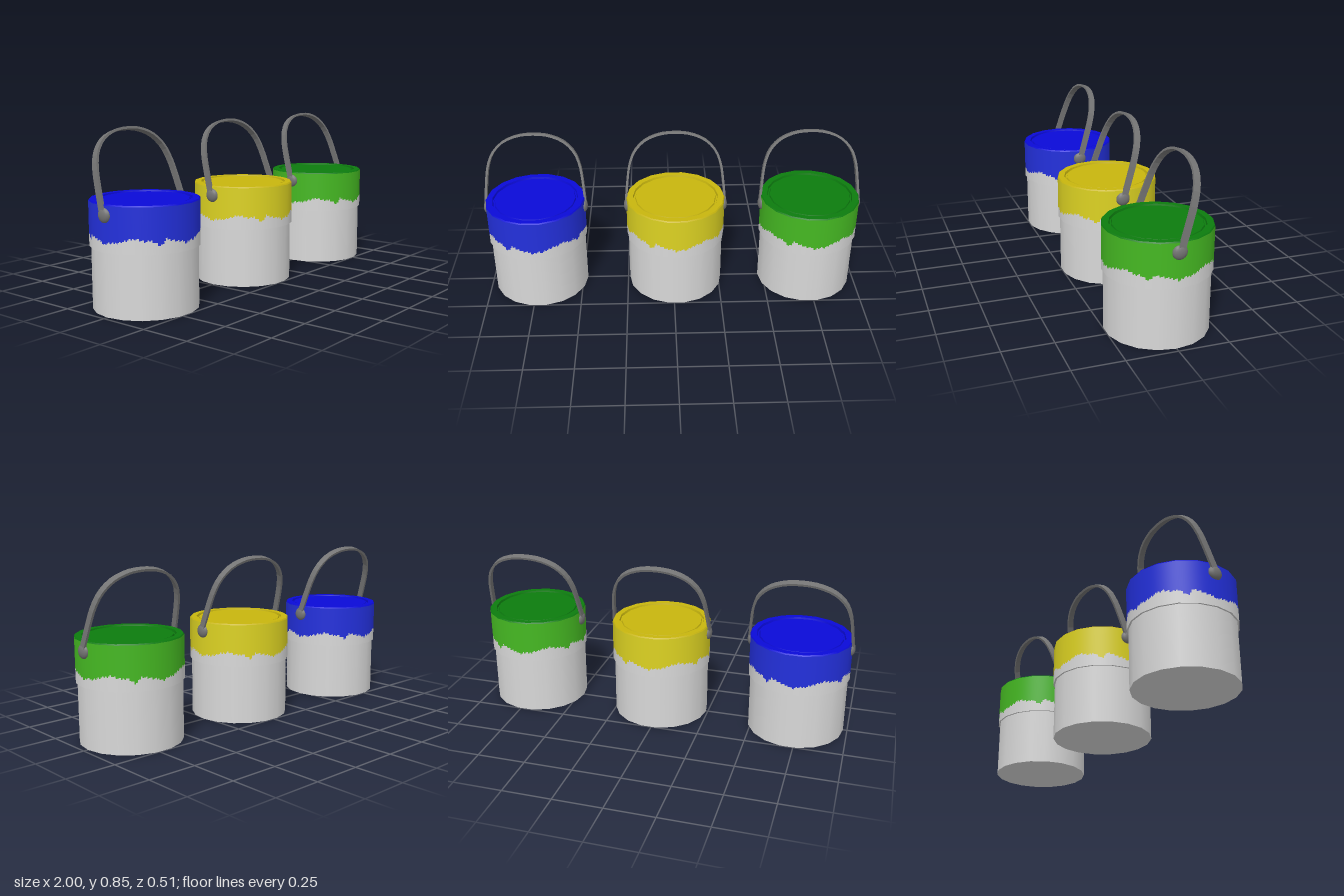
import * as THREE from 'three';
import { mergeGeometries } from 'three/addons/utils/BufferGeometryUtils.js';

const SIDES = 18, START = Math.PI / 18, BODY = 0.252, BAND = 0.2605;

const mat = (name, color, side = THREE.FrontSide) => {
  const m = new THREE.MeshStandardMaterial({ color, side });
  m.name = name;
  return m;
};

function mesh(name, geometry, material) {
  const m = new THREE.Mesh(geometry, material);
  m.name = name;
  return m;
}

// Turned surface whose profile corners all stay sharp
function turned(profile) {
  const parts = [];
  for (let i = 0; i + 1 < profile.length; i++) {
    const pair = [profile[i], profile[i + 1]].map(([r, y]) => new THREE.Vector2(r, y));
    parts.push(new THREE.LatheGeometry(pair, SIDES, START));
  }
  return mergeGeometries(parts);
}

// Height of the ragged paint edge, repeated every quarter turn: [degrees, height]
const DRIPS = [[-45, 0.36], [-39, 0.366], [-30, 0.338], [-24, 0.37], [-11, 0.353], [-3, 0.347],
  [0, 0.337], [5, 0.347], [11, 0.348], [22, 0.36], [35, 0.376], [45, 0.36]];

function dripHeight(angle, column) {
  const d = ((THREE.MathUtils.radToDeg(angle) + 45) % 90 + 90) % 90 - 45;
  let i = 0;
  while (i < DRIPS.length - 2 && d > DRIPS[i + 1][0]) i++;
  const [a, ya] = DRIPS[i], [b, yb] = DRIPS[i + 1];
  const jitter = ((column * 37) % 11) / 11 - 0.5;
  return ya + (yb - ya) * (d - a) / (b - a) + jitter * 0.012;
}

// Narrow upright columns around the band, from low(i) to high(i)
function columns(low, high) {
  const pos = [], nor = [], idx = [], per = 12, step = 2 * Math.PI / SIDES;
  const corner = (k) => new THREE.Vector2(Math.sin(START + k * step), Math.cos(START + k * step));
  const point = (c) => corner(Math.floor(c / per)).lerp(corner(Math.floor(c / per) + 1), (c % per) / per);
  for (let c = 0; c < SIDES * per; c++) {
    const angle = START + (c + 0.5) / per * step;
    const y0 = low(angle, c), y1 = high(angle, c), n = pos.length / 3;
    for (const [p, y] of [[point(c), y0], [point(c + 1), y0], [point(c + 1), y1], [point(c), y1]]) {
      pos.push(p.x * BAND, y, p.y * BAND);
      const u = p.clone().normalize();
      nor.push(u.x, 0, u.y);
    }
    idx.push(n, n + 1, n + 2, n, n + 2, n + 3);
  }
  const g = new THREE.BufferGeometry();
  g.setAttribute('position', new THREE.Float32BufferAttribute(pos, 3));
  g.setAttribute('normal', new THREE.Float32BufferAttribute(nor, 3));
  g.setIndex(idx);
  return g;
}

// Flat strap bent into an arch
function strapGeometry() {
  const half = [[0.27, 0], [0.265, 0.06], [0.257, 0.14], [0.247, 0.21], [0.22, 0.285], [0.165, 0.345], [0.085, 0.38]];
  const path = [...half, [0, 0.389], ...half.map(([x, y]) => [-x, y]).reverse()]
    .map(([x, y]) => new THREE.Vector3(x, y, 0));
  const curve = new THREE.CatmullRomCurve3(path);
  const outer = [], inner = [], n = 32;
  for (let i = 0; i <= n; i++) {
    const p = curve.getPointAt(i / n), t = curve.getTangentAt(i / n);
    outer.push(new THREE.Vector2(p.x, p.y));
    inner.push(new THREE.Vector2(p.x - t.y * 0.012, p.y + t.x * 0.012));
  }
  const width = 0.032;
  const g = new THREE.ExtrudeGeometry(new THREE.Shape([...outer, ...inner.reverse()]),
    { depth: width, bevelEnabled: false });
  return g.translate(0, 0, -width / 2);
}

export function createModel() {
  const steel = mat('steel', 0xd8d8d8);
  const handleGrey = mat('handle grey', 0x747474);
  const cans = [
    ['blue', -0.727, 0x2330dc, 0x0a0ad8],
    ['yellow', 0.012, 0xdcd222, 0xc8b60e],
    ['green', 0.725, 0x45b822, 0x0c7c0e],
  ];

  const body = turned([[0, 0], [BODY, 0], [BODY, 0.3], [BAND, 0.3]]);
  const band = columns(() => 0.3, dripHeight);
  const paint = columns(dripHeight, () => 0.514);
  // Lid with a raised rim, a groove and a flat centre
  const lid = turned([[BAND, 0.514], [0.256, 0.52], [0.225, 0.52], [0.222, 0.508],
    [0.214, 0.508], [0.211, 0.516], [0, 0.516]]);
  const strap = strapGeometry();
  const knob = new THREE.SphereGeometry(0.036, 16, 12).scale(0.55, 1, 1);

  const group = new THREE.Group();
  group.name = 'paintCans';
  for (const [name, x, sideColor, lidColor] of cans) {
    const can = new THREE.Group();
    can.name = `${name}Can`;
    can.position.x = x;
    can.add(mesh('body', body, steel));
    can.add(mesh('band', band, steel));
    can.add(mesh('drippingPaint', paint, mat(`${name} paint`, sideColor)));
    can.add(mesh('lid', lid, mat(`${name} lid`, lidColor)));

    // Handle leaning back on its two pivots
    const handle = new THREE.Group();
    handle.name = 'handle';
    handle.position.y = 0.47;
    const arch = mesh('strap', strap, handleGrey);
    arch.rotation.x = -0.31;
    handle.add(arch);
    for (const s of [-1, 1]) {
      const pivot = mesh(s > 0 ? 'leftPivot' : 'rightPivot', knob, handleGrey);
      pivot.position.x = s * 0.2545;
      handle.add(pivot);
    }
    can.add(handle);
    group.add(can);
  }
  return group;
}
